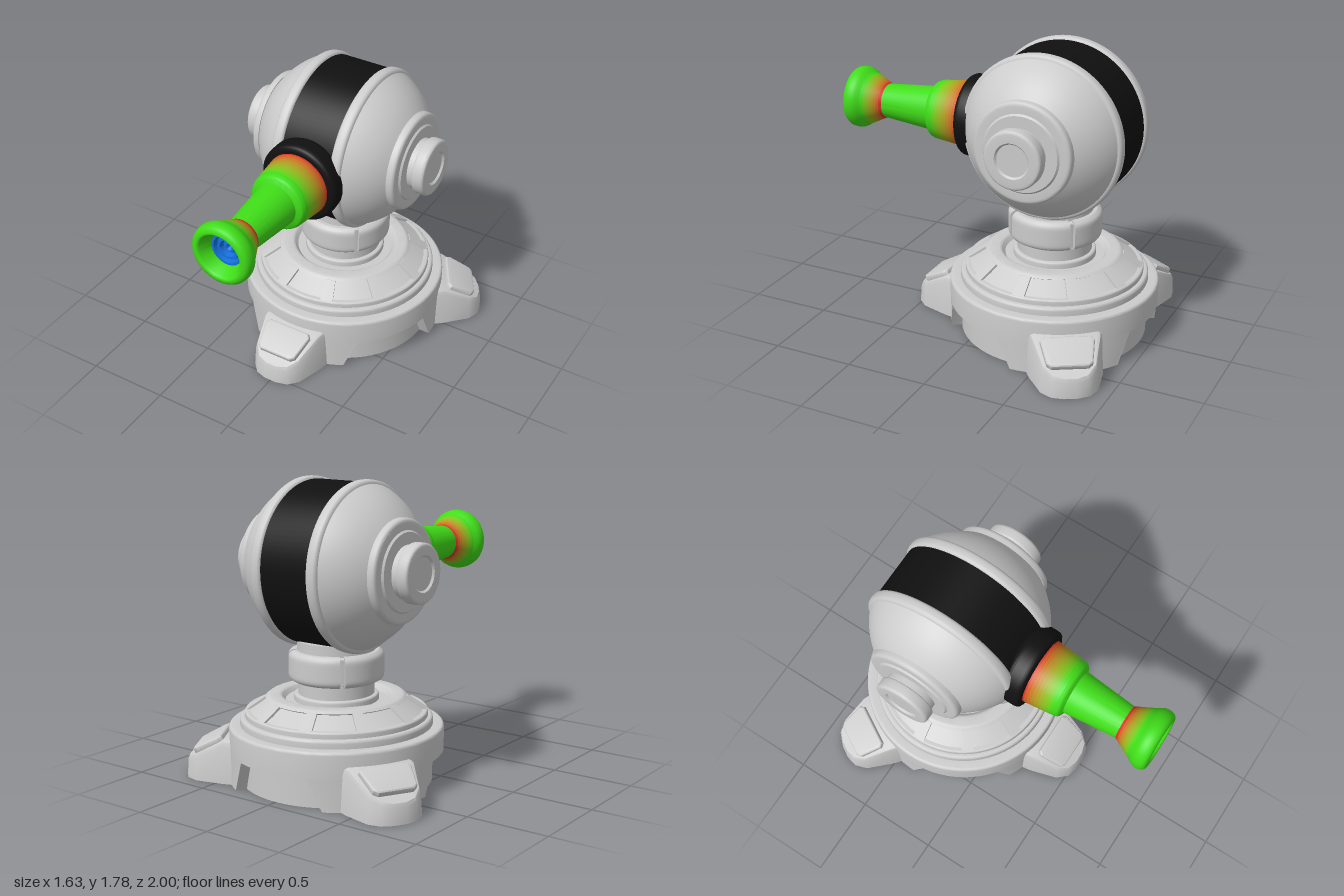
import * as THREE from 'three';
import { toCreasedNormals } from 'three/addons/utils/BufferGeometryUtils.js';

const material = (color) => new THREE.MeshStandardMaterial({ color, side: THREE.DoubleSide });
const grey = material(0xcccccc);
const black = material(0x101010);
const blue = material(0x1570dd);
const GREEN = new THREE.Color(0x40dd18);
const RED = new THREE.Color(0xdd3526);

function mesh(name, geometry, mat = grey, crease = 0.5) {
  const m = new THREE.Mesh(toCreasedNormals(geometry, crease), mat);
  m.name = name;
  return m;
}

// Profile of [radius, height, cornerRadius?]; corners with a radius are rounded
function rounded(points) {
  const out = [];
  points.forEach(([x, y, r], i) => {
    const p = new THREE.Vector2(x, y);
    if (!r) return out.push(p);
    const toward = (q) => new THREE.Vector2(q[0], q[1]).sub(p).setLength(r).add(p);
    out.push(...new THREE.QuadraticBezierCurve(toward(points[i - 1]), p, toward(points[i + 1])).getPoints(4));
  });
  return out;
}

const lathe = (name, points, mat = grey, segments = 72) =>
  mesh(name, new THREE.LatheGeometry(rounded(points), segments), mat);

// Block wrapped around the vertical axis; half angle and radii vary with height t (0..1)
function bentBlock(name, y0, y1, half, rIn, rOut, segX = 16, segY = 1) {
  const geo = new THREE.BoxGeometry(2, 1, 1, segX, segY, 1);
  const p = geo.attributes.position;
  for (let i = 0; i < p.count; i++) {
    const t = p.getY(i) + 0.5;
    const a = p.getX(i) * THREE.MathUtils.degToRad(half(t));
    const r = p.getZ(i) > 0 ? rOut(t) : rIn(t);
    p.setXYZ(i, r * Math.sin(a), y0 + (y1 - y0) * t, r * Math.cos(a));
  }
  return mesh(name, geo);
}

// Repeat a part evenly around the vertical axis
function around(parent, count, make, offset = 0) {
  for (let i = 0; i < count; i++) {
    const part = make();
    part.rotation.y = offset + (i * 2 * Math.PI) / count;
    parent.add(part);
  }
}

// Sloping foot, open below, with a raised pad on top
function makeFoot() {
  const foot = new THREE.Group();
  foot.name = 'foot';
  const half = [[0.24, 0.5], [0.215, 0.65], [0.165, 0.82], [0.11, 0.88], [0.04, 0.9]];
  const outline = [...half, ...half.map(([x, r]) => [-x, r]).reverse()];
  const n = outline.length;
  const top = (r) => 0.26 - Math.max(0, r - 0.65) * 0.52;
  const rings = [
    (x, r) => [x, 0, r],
    (x, r) => [x * 0.95, top(r) - 0.035, 0.5 + (r - 0.5) * 0.985],
    (x, r) => [x * 0.91, top(r) - 0.01, 0.5 + (r - 0.5) * 0.965],
    (x, r) => [x * 0.83, top(r), 0.5 + (r - 0.5) * 0.92],
  ];
  const pos = rings.flatMap((ring) => outline.flatMap(([x, r]) => ring(x, r)));
  const index = [];
  const quad = (a, b, c, d) => index.push(a, b, c, a, c, d);
  for (let k = 0; k < rings.length - 1; k++) {
    for (let i = 0; i < n - 1; i++) {
      const a = k * n + i;
      quad(a + 1, a, a + n, a + n + 1);
    }
  }
  const cap = (rings.length - 1) * n;
  for (let i = 0; i < n / 2 - 1; i++) quad(cap + n - 1 - i, cap + n - 2 - i, cap + i + 1, cap + i);
  const geo = new THREE.BufferGeometry();
  geo.setAttribute('position', new THREE.Float32BufferAttribute(pos, 3));
  geo.setIndex(index);
  foot.add(mesh('footShell', geo, grey, 0.7));

  const shape = new THREE.Shape([[-0.1, -0.085], [0.1, -0.085], [0.118, -0.07], [0.142, 0.07],
    [0.13, 0.085], [-0.13, 0.085], [-0.142, 0.07], [-0.118, -0.07]].map(([x, y]) => new THREE.Vector2(x, y)));
  const pad = mesh('footPad', new THREE.ExtrudeGeometry(shape, {
    depth: 0.02, bevelThickness: 0.015, bevelSize: 0.015, bevelSegments: 3 }));
  pad.position.set(0, 0.198, 0.745);
  pad.rotation.x = -(Math.PI / 2 - Math.atan(0.52));
  foot.add(pad);
  return foot;
}

function makeBase() {
  const base = new THREE.Group();
  base.name = 'base';
  // Hollow stepped shell with a recessed lower wall and recessed cone
  base.add(lathe('baseShell', [
    [0.567, 0], [0.567, 0.19], [0.635, 0.19], [0.635, 0.343, 0.02], [0.57, 0.343],
    [0.57, 0.392, 0.02], [0.54, 0.392], [0.54, 0.427, 0.012], [0.508, 0.427], [0.405, 0.492],
    [0.418, 0.5], [0.397, 0.517, 0.012], [0.325, 0.517, 0.012], [0.3, 0.485], [0.2, 0.485],
  ], grey, 96));
  // Raised wall behind each foot, leaving slanted recesses between
  around(base, 3, () => bentBlock('wallSection', 0, 0.192, (t) => 30 + 8 * t, () => 0.565, () => 0.634, 24));
  around(base, 3, makeFoot);
  // Ribs dividing the cone into ten panels
  around(base, 10, () => bentBlock('coneRib', 0.425, 0.503, () => 4.2,
    (t) => 0.505 - 0.11 * t, (t) => 0.532 - 0.114 * t, 4), Math.PI / 10);
  return base;
}

function makeNeck() {
  const neck = new THREE.Group();
  neck.name = 'neck';
  neck.add(lathe('neckColumn', [[0, 0.48], [0.25, 0.48], [0.25, 0.525, 0.015], [0.225, 0.525],
    [0.225, 0.61], [0.255, 0.62], [0.255, 0.77], [0.23, 0.78], [0.23, 0.845], [0, 0.845]]));
  around(neck, 4, () => bentBlock('collarSegment', 0.605, 0.787, () => 42, () => 0.22,
    (t) => 0.282 - 0.03 * Math.abs(2 * t - 1) ** 8, 20, 16));
  return neck;
}

function makeHead() {
  const head = new THREE.Group();
  head.name = 'head';
  head.position.set(0, 1.285, 0.005);
  const band = lathe('centreBand', [[0.483, -0.17], [0.483, 0.17]], black, 96);
  band.rotation.z = -Math.PI / 2;
  head.add(band);
  // Side shell: rim, spherical dome, stepped hub and cap
  const dome = [];
  for (let i = 0; i <= 10; i++) {
    const x = 0.235 + i * 0.0205;
    dome.push([Math.sqrt(0.53 * 0.53 - x * x), x]);
  }
  const side = [
    [0.44, 0.162], [0.499, 0.162, 0.025], [0.499, 0.235, 0.03], ...dome,
    [0.302, 0.44], [0.302, 0.487, 0.025], [0.235, 0.487], [0.225, 0.498], [0.155, 0.498],
    [0.155, 0.537], [0.174, 0.537, 0.012], [0.174, 0.612, 0.02], [0.105, 0.612], [0.095, 0.6], [0, 0.6],
  ];
  for (const s of [1, -1]) {
    const shell = lathe(s > 0 ? 'leftShell' : 'rightShell', side, grey, 96);
    shell.rotation.z = (-s * Math.PI) / 2;
    head.add(shell);
  }
  return head;
}

function makeBarrel() {
  const barrel = new THREE.Group();
  barrel.name = 'barrel';
  barrel.position.y = 1.28;
  barrel.rotation.x = Math.PI / 2;
  barrel.add(lathe('barrelMount', [[0.2, 0], [0.225, 0.05], [0.25, 0.09, 0.015], [0.25, 0.2, 0.035], [0, 0.2]], black));
  // Straight cone cut into bands that fade from red to green
  const fade = (name, r0, z0, r1, z1, steps) => {
    const at = (k) => [THREE.MathUtils.lerp(r0, r1, k / steps), THREE.MathUtils.lerp(z0, z1, k / steps)];
    for (let k = 0; k < steps; k++) {
      const color = RED.clone().lerp(GREEN, k / (steps - 1));
      barrel.add(lathe(name, [at(k), at(k + 1)], material(color)));
    }
  };
  fade('rearFade', 0.203, 0.19, 0.18, 0.395, 10);
  const green = material(GREEN);
  barrel.add(lathe('barrelTube', [[0.18, 0.395], [0.172, 0.42, 0.012], [0.136, 0.435], [0.105, 0.765]], green));
  fade('muzzleFade', 0.105, 0.765, 0.165, 0.885, 8);
  barrel.add(lathe('muzzle', [[0.165, 0.885], [0.192, 0.925, 0.025], [0.188, 0.998, 0.04],
    [0.14, 1, 0.015], [0.1, 0.91], [0.1, 0.86]], green));
  // Concentric rings inside the muzzle
  barrel.add(lathe('muzzleCore', [[0.103, 0.89], [0.1, 0.92], [0.085, 0.92], [0.08, 0.89], [0.07, 0.89],
    [0.066, 0.91], [0.052, 0.91], [0.046, 0.88], [0.036, 0.88], [0.03, 0.895], [0.02, 0.895], [0, 0.86]], blue, 48));
  return barrel;
}

export function createModel() {
  const model = new THREE.Group();
  model.name = 'turret';
  const body = new THREE.Group();
  body.name = 'body';
  body.position.z = -0.365;
  body.add(makeBase(), makeNeck(), makeHead());
  model.add(body, makeBarrel());
  return model;
}
